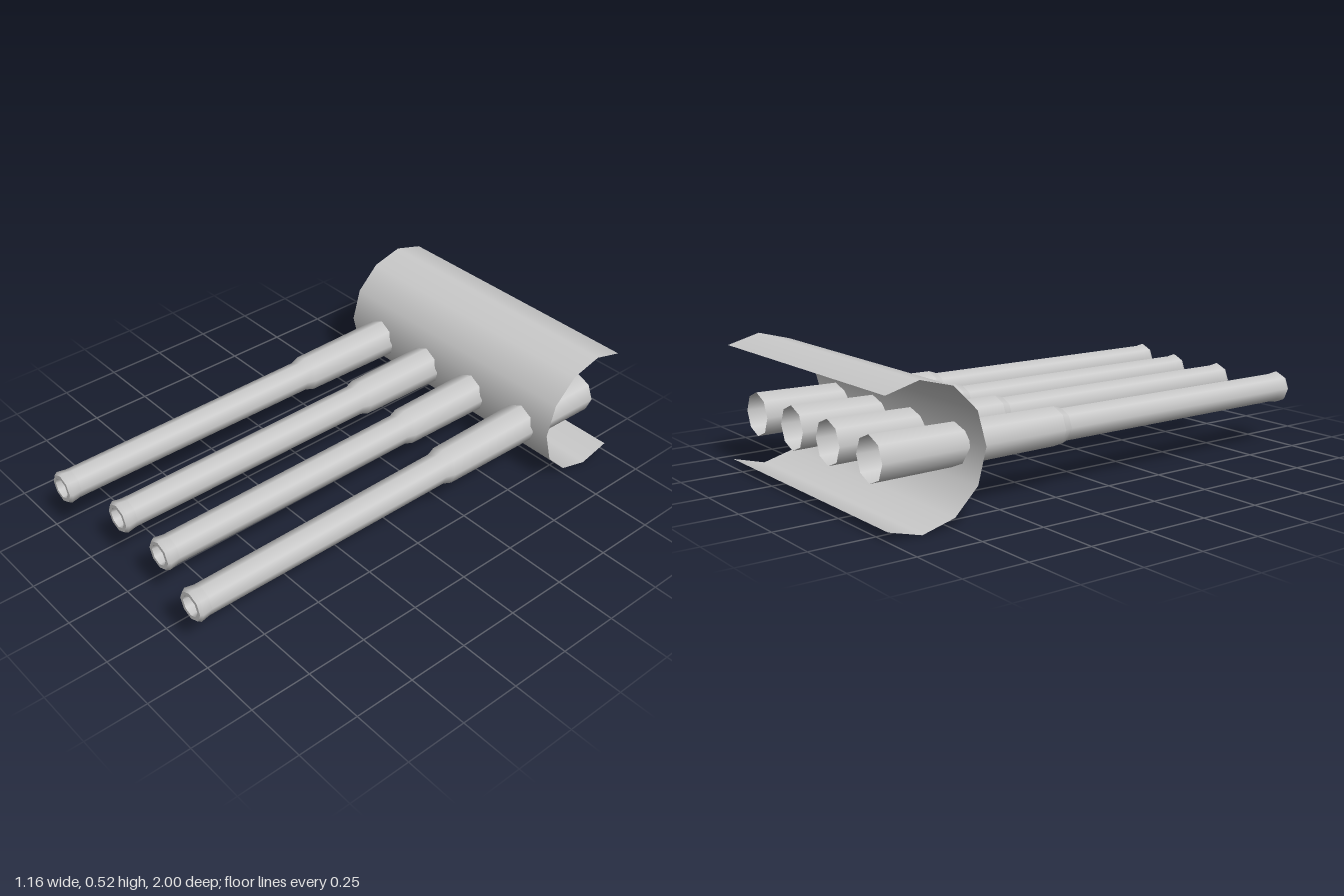
import * as THREE from 'three';

const material = new THREE.MeshStandardMaterial({ color: 0xcccccc, side: THREE.DoubleSide });

// Eight-sided turned part along z; profile is a list of [radius, z]
function turned(name, profile) {
  const points = profile.map(([r, z]) => new THREE.Vector2(r, z));
  const geometry = new THREE.LatheGeometry(points, 8);
  geometry.rotateX(Math.PI / 2);
  const mesh = new THREE.Mesh(geometry, material);
  mesh.name = name;
  return mesh;
}

// One barrel: step is where the sleeve ends, tip is the muzzle end
function createBarrel(step, tip) {
  const barrel = new THREE.Group();
  barrel.name = 'barrel';
  barrel.add(
    turned('sleeve', [[0.085, -0.965], [0.075, step]]),
    turned('collar', [[0.075, step], [0.063, step + 0.035]]),
    turned('tube', [[0.063, step + 0.035], [0.059, tip - 0.05]]),
    turned('muzzle', [[0.059, tip - 0.05], [0.065, tip - 0.012]]),
    turned('muzzleBevel', [[0.065, tip - 0.012], [0.058, tip]]),
    turned('muzzleRim', [[0.058, tip], [0.042, tip]]),
    turned('bore', [[0.042, tip], [0.036, tip - 0.05], [0, tip - 0.09]])
  );
  return barrel;
}

export function createModel() {
  const model = new THREE.Group();
  model.name = 'barrelBank';

  // Curved shield: an open 240 degree arc, bulging to the front
  const arc = THREE.MathUtils.degToRad(240);
  const shieldGeometry = new THREE.CylinderGeometry(0.26, 0.26, 1.156, 8, 1, true, -arc / 2, arc);
  shieldGeometry.rotateZ(Math.PI / 2);
  const shield = new THREE.Mesh(shieldGeometry, material);
  shield.name = 'shield';
  shield.position.set(0, 0.26, -0.87);
  model.add(shield);

  // Four barrels, the inner pair slightly shorter
  for (const [x, step, tip] of [
    [-0.408, -0.19, 1], [-0.126, -0.25, 0.935], [0.14, -0.25, 0.935], [0.422, -0.19, 1],
  ]) {
    const barrel = createBarrel(step, tip);
    barrel.position.set(x, 0.237, 0);
    model.add(barrel);
  }
  return model;
}
